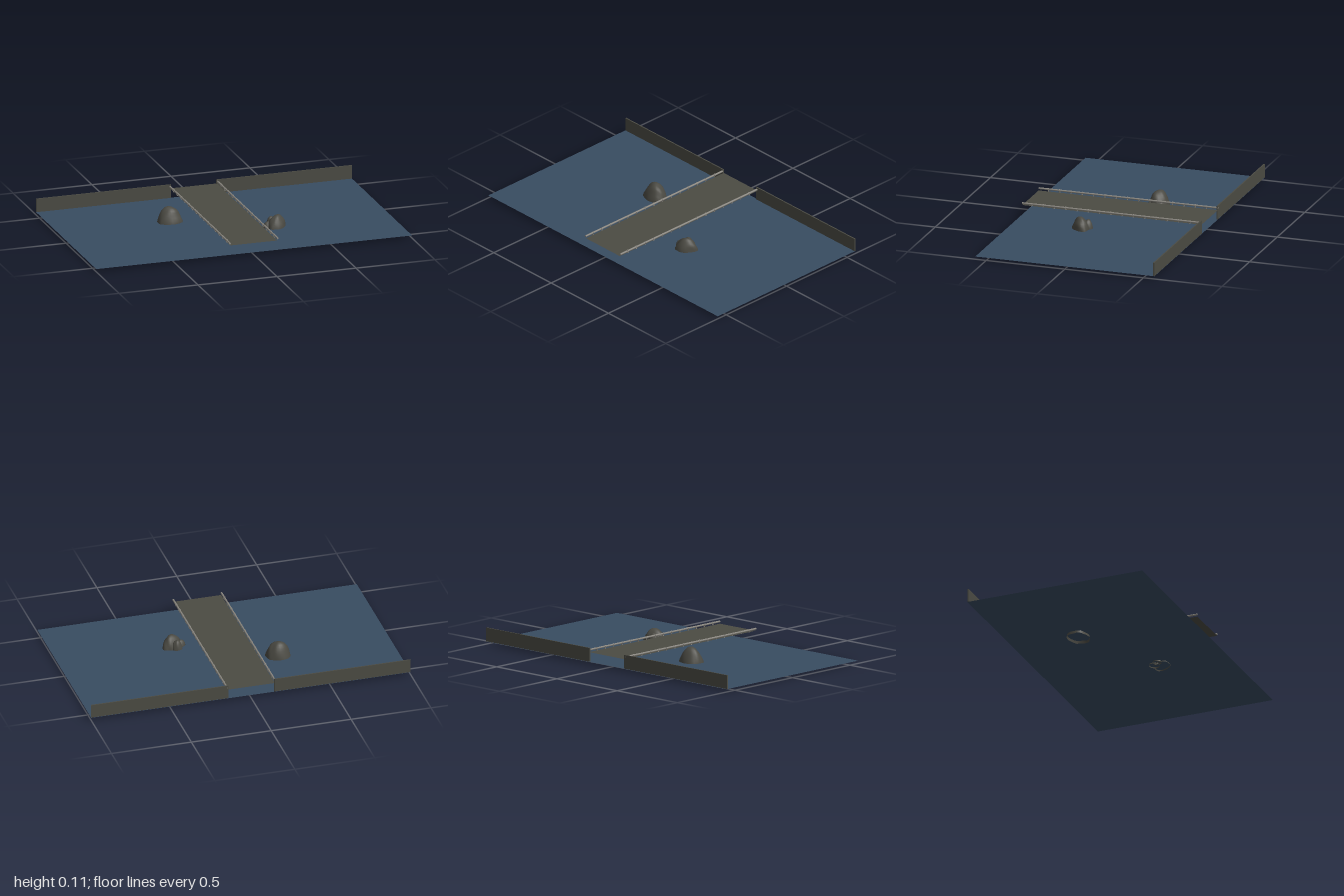
import * as THREE from 'three';
import { mergeVertices } from 'three/addons/utils/BufferGeometryUtils.js';

const mat = (name, color, side = THREE.FrontSide) => {
  const m = new THREE.MeshStandardMaterial({ color, side });
  m.name = name;
  return m;
};

export function createModel() {
  const group = new THREE.Group();
  const water = mat('deep blue water', 0x384c61, THREE.DoubleSide);
  const concrete = mat('grey concrete', 0x4b4b43, THREE.DoubleSide);
  const stone = mat('dark stone', 0x4a4942, THREE.DoubleSide);
  const metal = mat('rail metal', 0x8a8780);

  const add = (name, geometry, material, x, y, z, parent = group) => {
    const mesh = new THREE.Mesh(geometry, material);
    mesh.name = name;
    mesh.position.set(x, y, z);
    parent.add(mesh);
    return mesh;
  };

  // Flat sheets: water surface and bridge deck
  const sheet = (w, d) => new THREE.PlaneGeometry(w, d).rotateX(-Math.PI / 2);
  add('waterSurface', sheet(2, 1.14), water, 0, 0.021, 0);
  add('bridgeDeck', sheet(0.296, 1.14), concrete, -0.002, 0.08, 0);

  // Low walls along the back edge, either side of the bridge
  const wall = (name, x0, x1) =>
    add(name, new THREE.BoxGeometry(x1 - x0, 0.084, 0.008), concrete, (x0 + x1) / 2, 0.064, -0.566);
  wall('rightWall', -1, -0.147);
  wall('leftWall', 0.14, 1);

  // Pipe rails held by evenly spaced collars on short feet
  const pipe = new THREE.CylinderGeometry(0.006, 0.006, 1.14, 10).rotateX(Math.PI / 2);
  const collar = new THREE.CylinderGeometry(0.0078, 0.0078, 0.006, 10).rotateX(Math.PI / 2);
  const foot = new THREE.BoxGeometry(0.006, 0.012, 0.006);
  for (const [name, x] of [['leftRail', 0.149], ['rightRail', -0.153]]) {
    const rail = new THREE.Group();
    rail.name = name;
    group.add(rail);
    add('railPipe', pipe, metal, x, 0.093, 0, rail);
    for (let i = 0; i < 15; i++) {
      const z = 0.509 - i * 0.0718;
      add('railCollar', collar, metal, x, 0.093, z, rail);
      add('railFoot', foot, metal, x, 0.086, z, rail);
    }
  }

  // Open-bottomed boulders: domes with gentle lumps
  const rock = (name, x, y, z, rx, h, rz, turn, seed) => {
    const g = new THREE.SphereGeometry(1, 20, 10, 0, Math.PI * 2, 0, Math.PI / 2);
    const p = g.attributes.position;
    for (let i = 0; i < p.count; i++) {
      const a = p.getX(i), b = p.getY(i), c = p.getZ(i);
      const lump = 1 + 0.06 * Math.sin(3.1 * a + 2 * b + seed) * Math.cos(3.7 * c + seed)
        + 0.035 * Math.sin(6 * c - 5 * b + 4 * a + seed * 2);
      const flare = 1 + 0.05 * (1 - b) * (1 - b) - 0.06 * b;
      p.setXYZ(i, a * lump * flare * rx, b * h * (1 + (lump - 1) * 0.3), c * lump * flare * rz);
    }
    g.deleteAttribute('uv');
    g.deleteAttribute('normal');
    const smooth = mergeVertices(g, 1e-5);
    smooth.computeVertexNormals();
    add(name, smooth, stone, x, y, z).rotation.y = turn;
  };
  rock('largeRock', -0.296, 0.004, -0.145, 0.077, 0.112, 0.063, 0, 1);
  rock('mediumRock', 0.284, 0.014, 0.15, 0.066, 0.082, 0.046, 0.65, 2.3);
  rock('smallRock', 0.262, 0.014, 0.112, 0.034, 0.062, 0.031, 0.3, 4);
  rock('tinyRock', 0.227, 0.014, 0.145, 0.028, 0.044, 0.025, 0.9, 5.2);

  return group;
}
